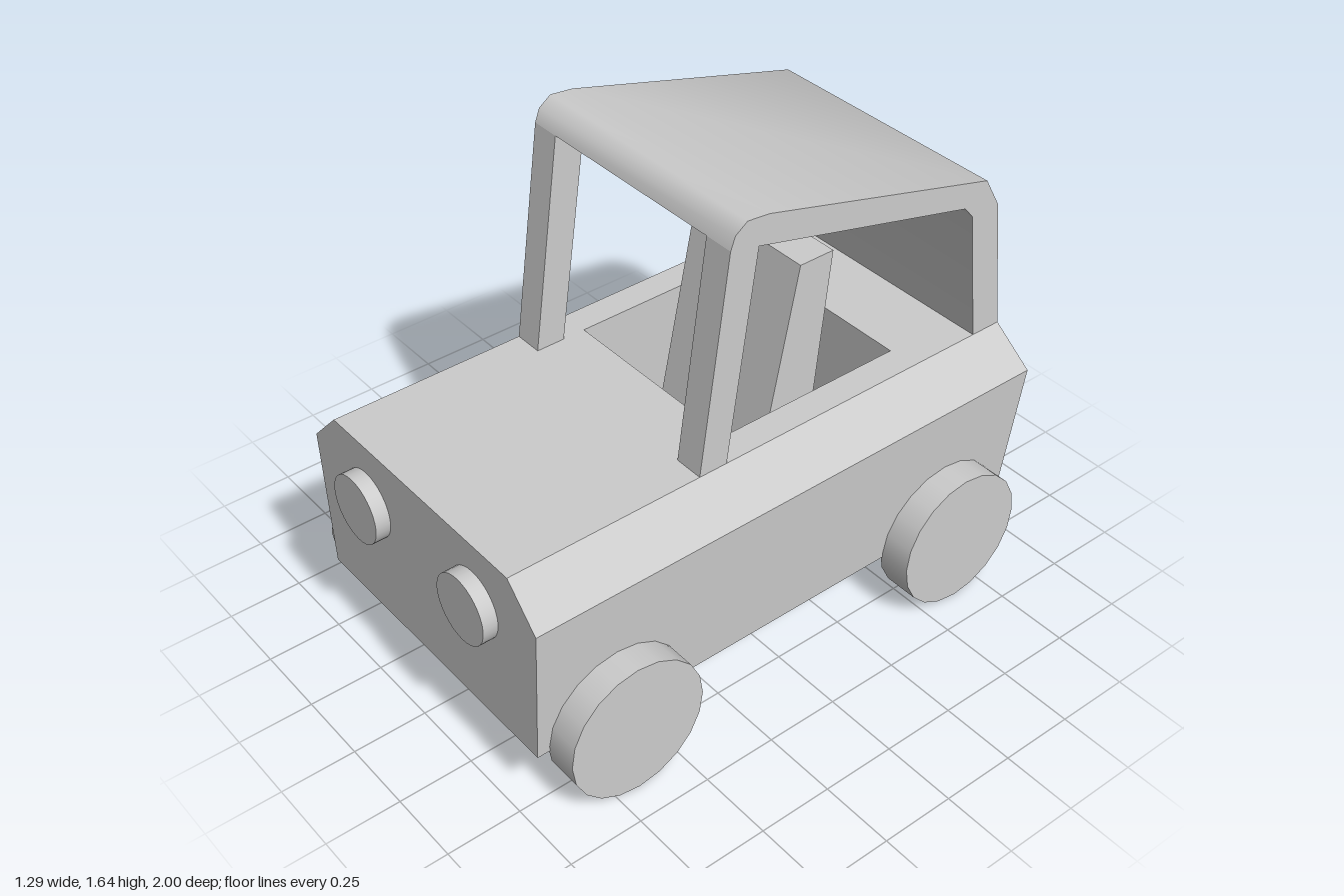
import * as THREE from 'three';
import { toCreasedNormals } from 'three/addons/utils/BufferGeometryUtils.js';

const material = new THREE.MeshStandardMaterial({ color: 0xcccccc });

function add(group, name, geometry) {
  const mesh = new THREE.Mesh(geometry, material);
  mesh.name = name;
  group.add(mesh);
  return mesh;
}

// Side profile of [z, y] points, extruded from x0 to x1
function sideExtrude(points, x0, x1) {
  const shape = new THREE.Shape(points.map(([z, y]) => new THREE.Vector2(-z, y)));
  const geometry = new THREE.ExtrudeGeometry(shape, { depth: x1 - x0, bevelEnabled: false });
  geometry.rotateY(Math.PI / 2).translate(x0, 0, 0);
  return toCreasedNormals(geometry, 0.9);
}

// Faceted loft through rectangular rings { x0, x1, front, back, y }, capped at both ends
function loftRings(rings) {
  const corners = rings.map(({ x0, x1, front, back, y }) => [
    [x0, y, front], [x1, y, front], [x1, y, back], [x0, y, back],
  ]);
  const positions = [];
  const quad = (a, b, c, d) => [a, b, c, a, c, d].forEach((p) => positions.push(...p));
  for (let i = 0; i < corners.length - 1; i++) {
    const low = corners[i], high = corners[i + 1];
    for (let k = 0; k < 4; k++) {
      const n = (k + 1) % 4;
      quad(low[k], low[n], high[n], high[k]);
    }
  }
  const first = corners[0], last = corners[corners.length - 1];
  quad(first[3], first[2], first[1], first[0]);
  quad(last[0], last[1], last[2], last[3]);
  const geometry = new THREE.BufferGeometry();
  geometry.setAttribute('position', new THREE.Float32BufferAttribute(positions, 3));
  geometry.computeVertexNormals();
  return geometry;
}

export function createModel() {
  const car = new THREE.Group();
  car.name = 'car';

  // Body shell: outside walls, chamfered shoulder, deck, then down into the cockpit
  add(car, 'body', loftRings([
    { x0: -0.545, x1: 0.535, front: 0.95, back: -0.91, y: 0.22 },
    { x0: -0.575, x1: 0.562, front: 0.95, back: -0.965, y: 0.71 },
    { x0: -0.45, x1: 0.438, front: 0.95, back: -0.94, y: 0.84 },
    { x0: -0.35, x1: 0.337, front: 0.1, back: -0.57, y: 0.84 },
    { x0: -0.35, x1: 0.337, front: 0.1, back: -0.57, y: 0.4 },
  ]));

  // Roof and rear wall in one bent slab
  add(car, 'roofAndRearWall', sideExtrude([
    [0.178, 1.567], [0.162, 1.61], [0.12, 1.64], [0.04, 1.632], [-0.82, 1.405],
    [-0.88, 1.3], [-0.94, 0.84], [-0.83, 0.84], [-0.77, 1.3], [-0.735, 1.34],
    [0.077, 1.543], [0.074, 1.567],
  ], -0.45, 0.438));

  // Leaning windscreen posts
  const post = [[0.28, 0.83], [0.178, 1.567], [0.074, 1.567], [0.077, 1.543], [0.18, 0.83]];
  add(car, 'rightPost', sideExtrude(post, -0.45, -0.35));
  add(car, 'leftPost', sideExtrude(post, 0.337, 0.438));

  // Wedge-shaped seat back standing on the cockpit floor
  add(car, 'seat', sideExtrude(
    [[-0.1, 0.4], [-0.27, 1.23], [-0.4, 1.23], [-0.31, 0.4]], -0.247, 0.235));

  // Wheels
  for (const [side, x] of [['left', 0.585], ['right', -0.588]]) {
    for (const [end, z] of [['Front', 0.67], ['Rear', -0.635]]) {
      const wheel = new THREE.CylinderGeometry(0.238, 0.238, 0.118, 20).rotateZ(Math.PI / 2);
      add(car, `${side}${end}Wheel`, wheel).position.set(x, 0.238, z);
    }
  }

  // Headlights
  for (const [name, x] of [['rightHeadlight', -0.288], ['leftHeadlight', 0.262]]) {
    const lamp = new THREE.CylinderGeometry(0.115, 0.115, 0.1, 32).rotateX(Math.PI / 2);
    add(car, name, lamp).position.set(x, 0.625, 0.95);
  }

  // Exhaust pipe
  const pipe = new THREE.CylinderGeometry(0.065, 0.065, 0.12, 24).rotateX(Math.PI / 2);
  add(car, 'exhaust', pipe).position.set(0.372, 0.377, -0.94);

  return car;
}
